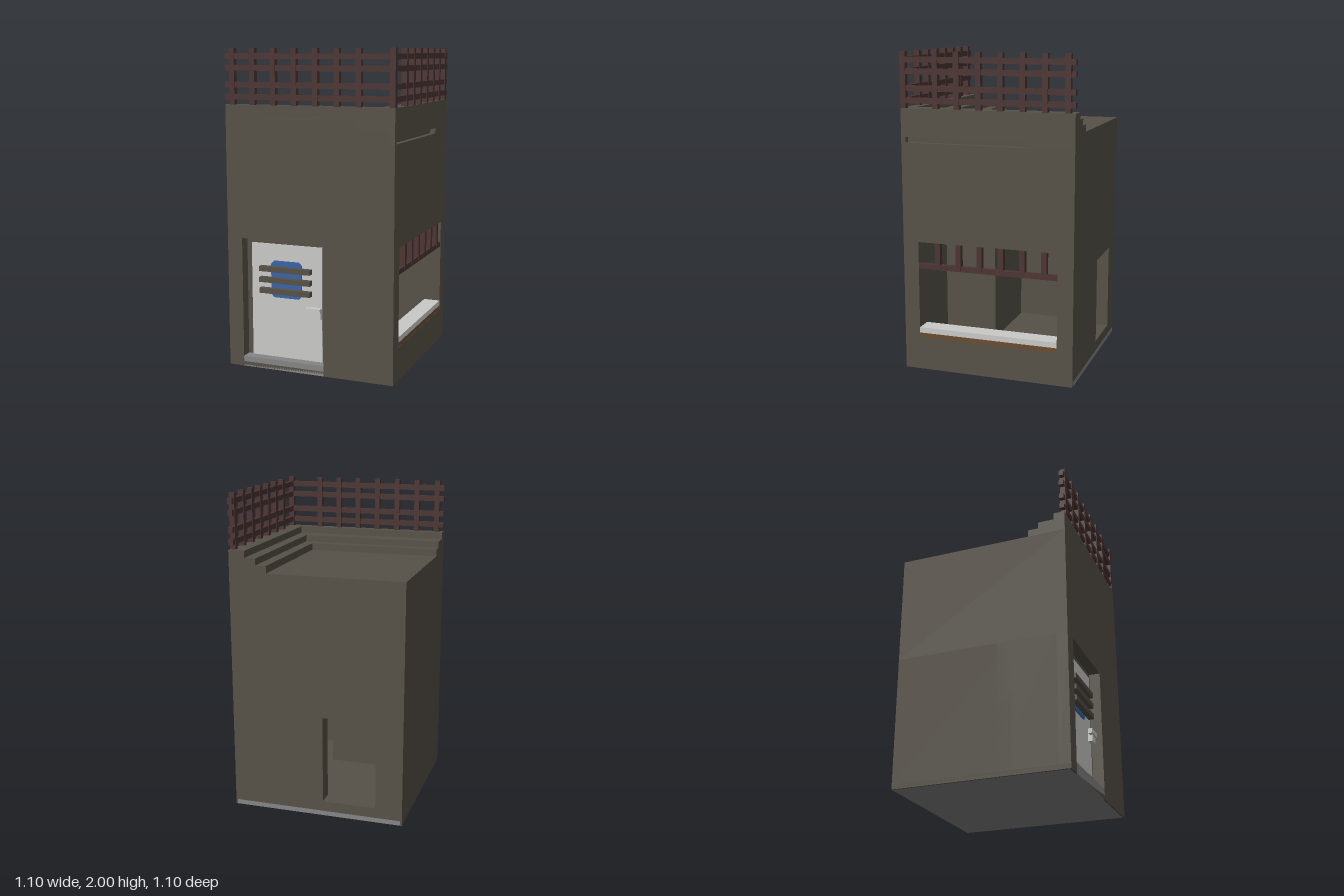
import * as THREE from 'three';

export function createModel() {
  const model = new THREE.Group();
  const mat = (name, color) => {
    const m = new THREE.MeshStandardMaterial({ color });
    m.name = name;
    return m;
  };
  const plaster = mat('brown plaster', 0x565147);
  const lattice = mat('dark red wood', 0x4b3433);
  const pale = mat('pale paint', 0xcacac7);
  const grey = mat('grey stone', 0x858585);
  const blue = mat('blue glass', 0x3b63a6);
  const wood = mat('warm wood', 0x6b4a30);

  // Box from minimum and maximum on each axis
  const box = (parent, name, m, x0, x1, y0, y1, z0, z1) => {
    const mesh = new THREE.Mesh(new THREE.BoxGeometry(x1 - x0, y1 - y0, z1 - z0), m);
    mesh.position.set((x0 + x1) / 2, (y0 + y1) / 2, (z0 + z1) / 2);
    mesh.name = name;
    parent.add(mesh);
    return mesh;
  };
  const group = (name) => {
    const g = new THREE.Group();
    g.name = name;
    model.add(g);
    return g;
  };
  const W = 0.55, B = 0.03, C = 0.83; // half width, slab top, ceiling

  // Ground slab, exposed at the back, with a brown skirting on other sides
  const base = group('base');
  box(base, 'slab', grey, -0.54, 0.54, 0, B, -W, 0.54);
  box(base, 'rightSkirting', plaster, 0.54, W, 0, B, -W, W);
  box(base, 'leftSkirting', plaster, -W, -0.54, 0, B, -W, W);
  box(base, 'frontSkirting', plaster, -0.54, 0.54, 0, B, 0.54, W);
  box(base, 'roomFloor', plaster, -0.46, 0.46, B, 0.095, -0.46, 0.46);

  // Lower walls around the L-shaped room
  const walls = group('lowerWalls');
  const wall = (name, ...d) => box(walls, name, plaster, ...d);
  wall('leftWall', -W, -0.45, B, C, -W, 0.2);
  wall('backWallLeft', -W, -0.38, B, C, -W, -0.45);
  wall('backWallRight', -0.04, W, B, C, -W, -0.45);
  wall('backLintel', -0.38, -0.04, 0.65, C, -W, -0.45);
  wall('backThreshold', -0.38, -0.04, B, 0.095, -W, -0.45);
  wall('frontWallRight', 0.1, W, B, C, 0.45, W);
  wall('frontWallLeft', -W, -0.45, B, C, 0.48, W);
  wall('entryBlock', -W, 0.1, B, C, 0.105, 0.48);
  wall('windowParapet', 0.45, W, B, 0.21, -0.45, 0.45);

  // Upper storey with a long slot in its right side
  const upper = group('upperStorey');
  const up = (name, ...d) => box(upper, name, plaster, ...d);
  up('core', -W, 0.515, C, 1.53, -W, W);
  up('skinBelowSlot', 0.515, W, C, 1.45, -W, W);
  up('skinAboveSlot', 0.515, W, 1.485, 1.53, -W, W);
  up('skinSlotFront', 0.515, W, 1.45, 1.485, 0.52, W);
  up('skinSlotBack', 0.515, W, 1.45, 1.485, -W, -0.275);

  // Stepped roof edge along the front and right
  const tiers = [[1.53, 1.575, 0.31, 0.31], [1.575, 1.617, 0.377, 0.377], [1.617, 1.66, 0.447, 0.48]];
  for (const [y0, y1, x, z] of tiers) {
    up('roofStepRight', x, W, y0, y1, -W, W);
    up('roofStepFront', -W, x, y0, y1, z, W);
  }

  // Lattice railing: the right run mirrors the front run across the diagonal
  const rail = group('roofRailing');
  const postAt = [...Array(7).keys()].map((i) => -0.503 + i * 0.1376);
  for (const y of [1.707, 1.78, 1.882, 1.952]) {
    box(rail, 'frontRail', lattice, -W, W, y - 0.017, y + 0.017, 0.518, 0.548);
    box(rail, 'rightRail', lattice, 0.518, 0.548, y - 0.017, y + 0.017, -W, W);
  }
  for (const p of postAt) {
    box(rail, 'frontPost', lattice, p - 0.017, p + 0.017, 1.66, 2, 0.515, W);
    box(rail, 'rightPost', lattice, 0.515, W, 1.66, 2, p - 0.017, p + 0.017);
  }
  box(rail, 'cornerPost', lattice, 0.515, W, 1.66, 2, 0.515, W);

  // Front door with step, blue window, bars and handle
  const door = group('frontDoor');
  box(door, 'doorStep', grey, -0.45, 0.1, 0, 0.065, 0.47, W);
  box(door, 'doorPanel', pale, -0.415, 0.065, 0.065, 0.795, 0.475, 0.487);
  const pane = new THREE.Shape();
  const [l, r, b, t, c] = [-0.278, -0.07, 0.455, 0.69, 0.02];
  [[l + c, b], [r - c, b], [r, b + c], [r, t - c], [r - c, t], [l + c, t], [l, t - c], [l, b + c]]
    .forEach(([x, y], i) => (i ? pane.lineTo(x, y) : pane.moveTo(x, y)));
  const glass = new THREE.Mesh(
    new THREE.ExtrudeGeometry(pane, { depth: 0.008, bevelEnabled: false }), blue);
  glass.position.z = 0.487;
  glass.name = 'doorWindow';
  door.add(glass);
  for (const y of [0.5, 0.57, 0.64]) {
    box(door, 'windowBar', plaster, -0.345, 0, y - 0.016, y + 0.016, 0.495, 0.53);
  }
  box(door, 'handleLever', pale, -0.035, 0.065, 0.385, 0.415, 0.5, 0.525);
  box(door, 'handlePlate', pale, 0, 0.065, 0.345, 0.415, 0.487, 0.515);

  // Serving window with counter, lattice and interior lamp
  const hatch = group('servingWindow');
  box(hatch, 'counterSupport', wood, 0.45, 0.548, 0.21, 0.24, -0.45, 0.45);
  box(hatch, 'counterTop', pale, 0.44, W, 0.24, 0.275, -0.45, 0.45);
  box(hatch, 'hatchRail', lattice, 0.517, 0.548, 0.66, 0.692, -0.45, 0.45);
  for (const p of postAt.slice(1)) {
    box(hatch, 'hatchPost', lattice, 0.515, W, 0.67, C, p - 0.017, p + 0.017);
  }
  box(hatch, 'ceilingLamp', pale, 0.4, 0.43, 0.8, C, -0.27, 0.32);
  box(hatch, 'lampEnd', plaster, 0.4, 0.43, 0.8, C, -0.45, -0.27);
  box(hatch, 'ceilingPanel', wood, 0.1, 0.4, 0.822, C, -0.45, 0.45);

  return model;
}
